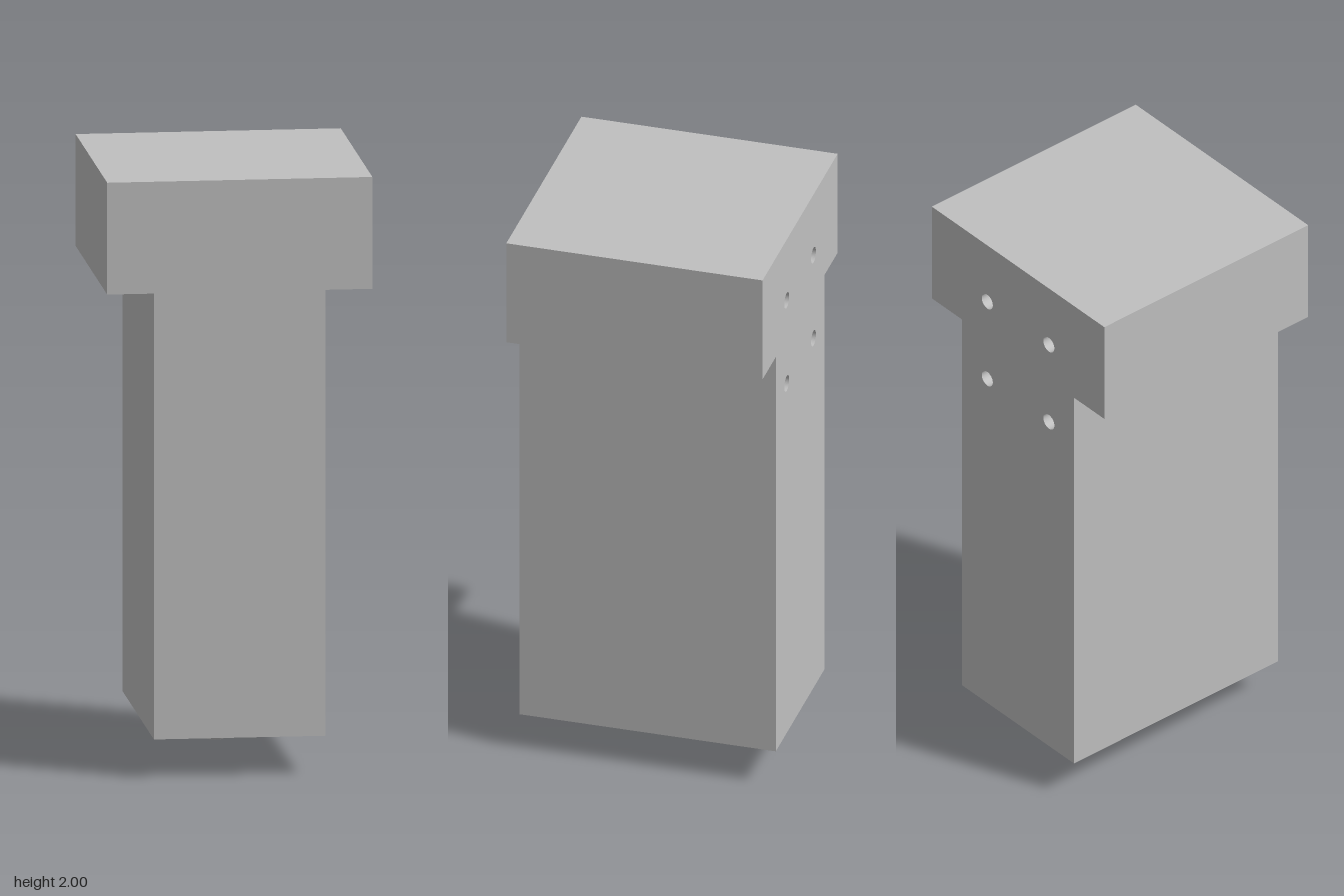
import * as THREE from 'three';

const HALF = 0.44;        // half width of the head and half depth of the body
const STEM = 0.285;       // half width of the stem
const HOLE_DEPTH = 0.16;

// T-shaped outline shared by both body sections
function outline() {
  return new THREE.Shape([
    [-STEM, 0.13], [STEM, 0.13], [STEM, 1.625], [HALF, 1.625],
    [HALF, 2], [-HALF, 2], [-HALF, 1.625], [-STEM, 1.625],
  ].map(([x, y]) => new THREE.Vector2(x, y)));
}

export function createModel() {
  const model = new THREE.Group();
  model.name = 'toolBlock';
  const grey = new THREE.MeshStandardMaterial({ color: 0xc0c0c0 });
  grey.name = 'grey';

  function add(name, geometry, x, y, z) {
    const mesh = new THREE.Mesh(geometry, grey);
    mesh.name = name;
    mesh.position.set(x, y, z);
    model.add(mesh);
  }

  function extrude(shape, depth) {
    return new THREE.ExtrudeGeometry(shape, { depth, bevelEnabled: false, curveSegments: 24 });
  }

  // Solid main body, whose rear face closes the blind holes
  add('body', extrude(outline(), 2 * HALF - HOLE_DEPTH), 0, 0, -HALF + HOLE_DEPTH);

  // Rear section with four mounting holes
  const rear = outline();
  for (const x of [-0.157, 0.157]) {
    for (const y of [1.455, 1.77]) {
      const hole = new THREE.Path();
      hole.absarc(x, y, 0.028, 0, Math.PI * 2, true);
      rear.holes.push(hole);
    }
  }
  add('rearMount', extrude(rear, HOLE_DEPTH), 0, 0, -HALF);

  // Nozzle under the stem: straight barrel and tapered tip
  add('nozzleBarrel', new THREE.CylinderGeometry(0.063, 0.063, 0.08, 32), 0, 0.09, -0.25);
  add('nozzleTip', new THREE.CylinderGeometry(0.063, 0.028, 0.05, 32), 0, 0.025, -0.25);

  return model;
}
